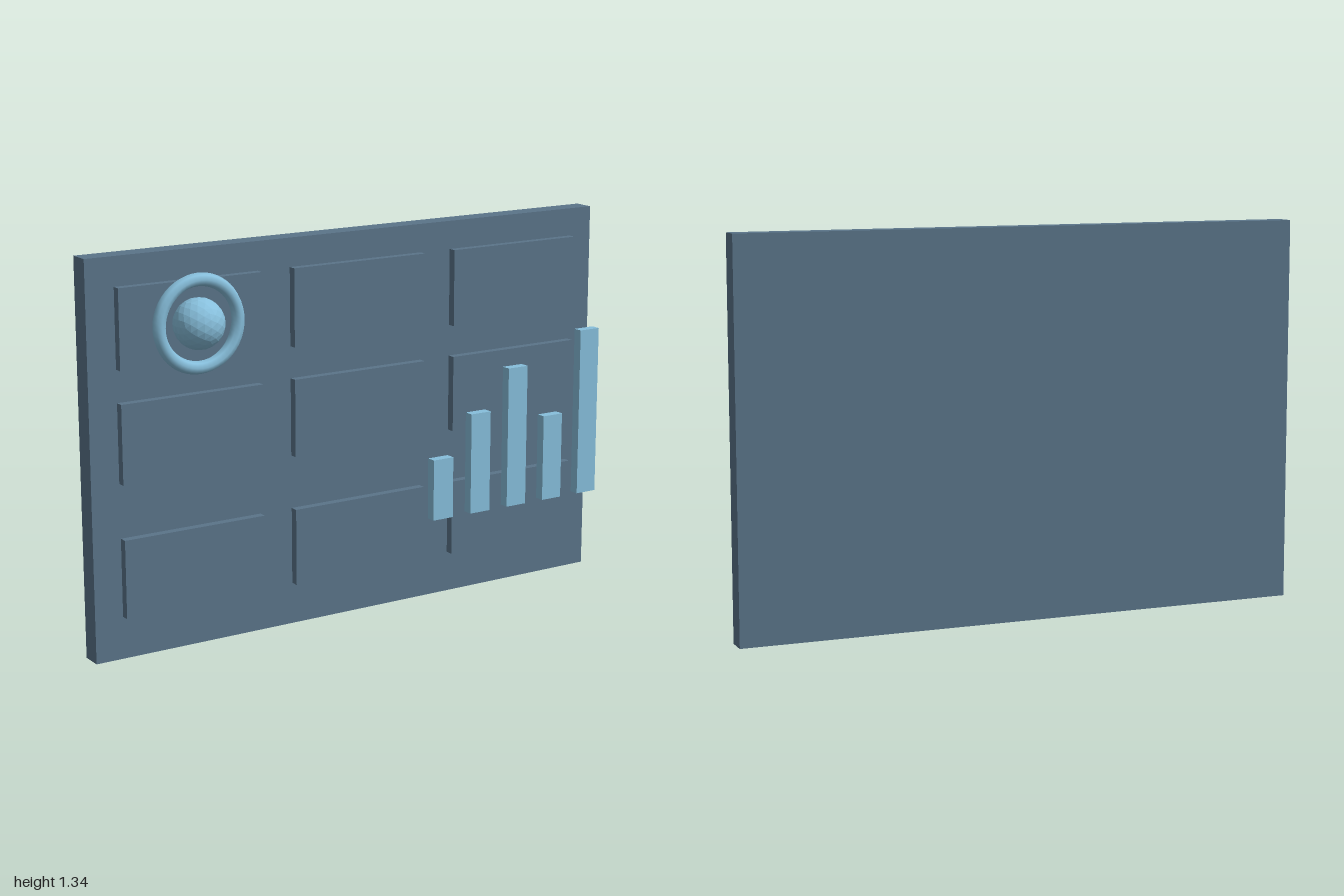
import * as THREE from 'three';

export function createModel() {
  const model = new THREE.Group();
  model.name = 'wallDisplay';

  const slate = new THREE.MeshStandardMaterial({ name: 'slate blue', color: 0x5a7489 });
  const sky = new THREE.MeshStandardMaterial({ name: 'sky blue', color: 0x87bfdc });
  const skyFaceted = sky.clone();
  skyFaceted.flatShading = true;

  // Box given by its minimum and maximum corners
  function addBox(name, material, [x0, y0, z0], [x1, y1, z1], parent = model) {
    const mesh = new THREE.Mesh(new THREE.BoxGeometry(x1 - x0, y1 - y0, z1 - z0), material);
    mesh.position.set((x0 + x1) / 2, (y0 + y1) / 2, (z0 + z1) / 2);
    mesh.name = name;
    parent.add(mesh);
    return mesh;
  }

  // Backing board
  addBox('backBoard', slate, [-1, 0, -0.12], [1, 1.335, -0.046]);

  // Three by three grid of panels floating just in front of the board
  const panels = new THREE.Group();
  panels.name = 'panels';
  model.add(panels);
  for (const y of [0.148, 0.598, 0.973]) {
    for (const x of [-0.904, -0.261, 0.381]) {
      addBox('panel', slate, [x, y, -0.037], [x + 0.521, y + 0.266, -0.008], panels);
    }
  }

  // Bar chart
  const chart = new THREE.Group();
  chart.name = 'barChart';
  model.add(chart);
  [0.524, 0.667, 0.811, 0.617, 0.911].forEach((top, i) => {
    const x = 0.258 + i * 0.158;
    addBox('chartBar', sky, [x, 0.307, 0.021], [x + 0.082, top, 0.056], chart);
  });

  // Sphere inside an upright ring
  const emblem = new THREE.Group();
  emblem.name = 'ringedSphere';
  emblem.position.set(-0.643, 1.105, 0.036);
  model.add(emblem);

  const ball = new THREE.Mesh(new THREE.IcosahedronGeometry(0.085, 3), skyFaceted);
  ball.name = 'sphere';
  const ring = new THREE.Mesh(new THREE.TorusGeometry(0.143, 0.022, 8, 48), sky);
  ring.name = 'ring';
  emblem.add(ball, ring);

  return model;
}
